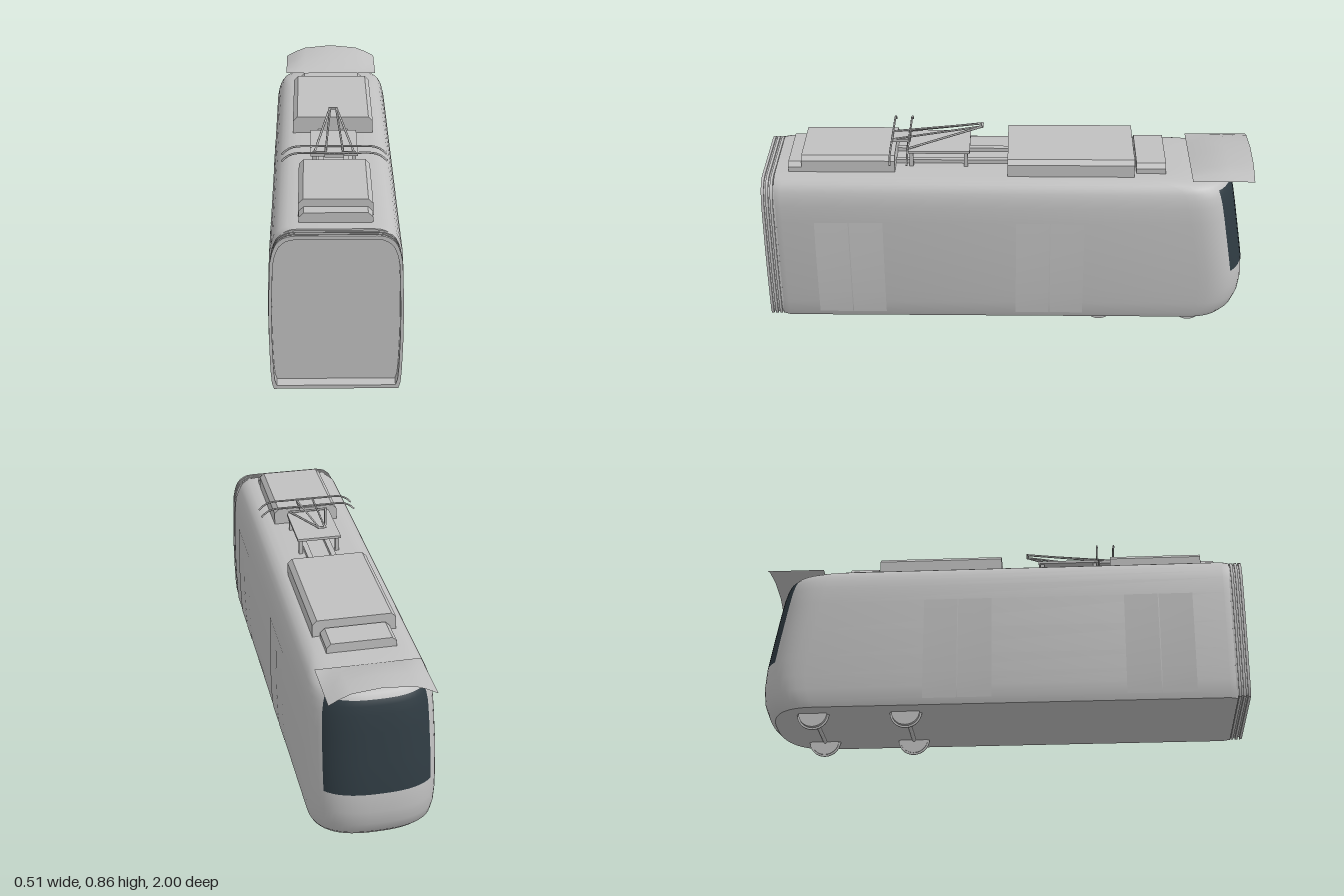
import * as THREE from 'three';
import { toCreasedNormals } from 'three/addons/utils/BufferGeometryUtils.js';

const paint = new THREE.MeshStandardMaterial({ color: 0xc0c0c0, side: THREE.DoubleSide });
paint.name = 'light grey';
const glass = new THREE.MeshStandardMaterial({ color: 0x2f3b42 });
glass.name = 'dark glass';

// Body levels: height, half width, z of the cab nose
const LEVELS = [
  [0.065, 0.236, -0.945], [0.09, 0.244, -0.97], [0.14, 0.248, -0.99], [0.2, 0.25, -0.997],
  [0.28, 0.252, -0.992], [0.4, 0.252, -0.972], [0.53, 0.248, -0.95], [0.6, 0.244, -0.937],
  [0.635, 0.237, -0.928], [0.658, 0.229, -0.92], [0.675, 0.22, -0.905], [0.687, 0.208, -0.87],
  [0.696, 0.195, -0.82], [0.703, 0.178, -0.75], [0.706, 0.15, -0.7],
];

function mesh(name, geometry, parent, material = paint) {
  const m = new THREE.Mesh(geometry, material);
  m.name = name;
  parent.add(m);
  return m;
}

function box(name, w, h, d, x, y, z, parent) {
  mesh(name, new THREE.BoxGeometry(w, h, d), parent).position.set(x, y, z);
}

// Round bar through a list of points, straight between them
function bar(name, points, r, parent) {
  const path = new THREE.CurvePath();
  const v = points.map((p) => new THREE.Vector3(...p));
  if (v.length === 2) path.add(new THREE.LineCurve3(v[0], v[1]));
  else path.add(new THREE.CatmullRomCurve3(v, false, 'centripetal'));
  mesh(name, new THREE.TubeGeometry(path, v.length === 2 ? 1 : 24, r, 6), parent);
}

// Surface through rows of points
function sheet(rows) {
  const n = rows[0].length, index = [];
  for (let r = 0; r < rows.length - 1; r++) {
    for (let c = 0; c < n - 1; c++) {
      const a = r * n + c;
      index.push(a, a + 1, a + n + 1, a, a + n + 1, a + n);
    }
  }
  const g = new THREE.BufferGeometry();
  g.setAttribute('position', new THREE.Float32BufferAttribute(rows.flat(2), 3));
  g.setIndex(index);
  g.computeVertexNormals();
  return g;
}

// Shell of stacked plan outlines: straight sides, rounded cab nose, flat rear
function bodyGeometry() {
  const STEPS = 28, DEPTH = 0.2, POWER = 2 / 2.6;
  const pos = [], body = [], screen = [];
  for (const [y, w, zf] of LEVELS) {
    pos.push(w - 0.012, y, 0.95, w, y, 0.92);
    for (let i = 0; i <= STEPS; i++) {
      const t = (Math.PI * i) / STEPS, c = Math.cos(t);
      const s = Math.max(0, Math.sin(t));
      pos.push(Math.sign(c) * w * Math.abs(c) ** POWER, y, zf + DEPTH * (1 - s ** POWER));
    }
    pos.push(-w, y, 0.92, -w + 0.012, y, 0.95);
  }
  const n = STEPS + 5, top = (LEVELS.length - 1) * n;
  for (let l = 0; l < LEVELS.length - 1; l++) {
    for (let j = 0; j < n; j++) {
      const k = (j + 1) % n, a = l * n;
      const isScreen = l >= 4 && l < 9 && j >= 8 && j < 24;
      (isScreen ? screen : body).push(a + j, a + k, a + n + k, a + j, a + n + k, a + n + j);
    }
  }
  // Floor and roof
  const mid = LEVELS.length * n;
  pos.push(0, LEVELS[0][0], 0, 0, LEVELS.at(-1)[0], 0);
  for (let j = 0; j < n; j++) {
    const k = (j + 1) % n;
    body.push(mid, k, j, mid + 1, top + j, top + k);
  }
  const g = new THREE.BufferGeometry();
  g.setAttribute('position', new THREE.Float32BufferAttribute(pos, 3));
  g.setIndex([...body, ...screen]);
  g.addGroup(0, body.length, 0);
  g.addGroup(body.length, screen.length, 1);
  return toCreasedNormals(g, 0.6);
}

// Cross-section outline of the body, scaled about its middle
function section(scale) {
  const p = LEVELS.map(([y, w]) => new THREE.Vector2(w * scale, 0.385 + (y - 0.385) * scale));
  return [...p, ...p.map((v) => new THREE.Vector2(-v.x, v.y)).reverse()];
}

function frame(name, scale, z0, z1, parent) {
  const s = new THREE.Shape(section(scale));
  s.holes.push(new THREE.Path(section(0.94)));
  const g = new THREE.ExtrudeGeometry(s, { depth: z1 - z0, bevelEnabled: false });
  mesh(name, toCreasedNormals(g, 0.6), parent).position.z = z0;
}

// Roof equipment box with chamfered upper edges
function roofBox(name, w, top, z0, z1, parent) {
  const c = 0.018, b = 0.69;
  const s = new THREE.Shape([[-w, b], [w, b], [w, top - c], [w - c, top], [c - w, top], [-w, top - c]]
    .map((p) => new THREE.Vector2(...p)));
  const g = new THREE.ExtrudeGeometry(s, { depth: z1 - z0, bevelEnabled: false });
  mesh(name, g, parent).position.z = z0;
}

export function createModel() {
  const model = new THREE.Group();
  model.name = 'tramCar';
  mesh('bodyAndWindscreen', bodyGeometry(), model, [paint, glass]);

  // Gangway bellows
  const bellows = new THREE.Group();
  bellows.name = 'gangwayBellows';
  model.add(bellows);
  frame('bellowsCore', 0.962, 0.945, 0.998, bellows);
  for (const z of [0.953, 0.971, 0.989]) frame('bellowsRib', 0.985, z, z + 0.011, bellows);

  // Double doors on both sides, following the wall profile
  for (const side of [-1, 1]) {
    for (const z of [0.65, -0.175]) {
      for (const [a, b] of [[-0.14, -0.002], [0.002, 0.14]]) {
        const ends = side > 0 ? [z + b, z + a] : [z + a, z + b];
        const rows = LEVELS.slice(1, 7).map(([y, w]) => ends.map((e) => [side * (w + 0.0015), y, e]));
        mesh('doorLeaf', sheet(rows), model);
      }
    }
  }

  // Arched fairing above the cab
  const arch = [[-0.205, 0], [-0.165, 0.022], [-0.12, 0.04], [0, 0.052], [0.12, 0.04], [0.165, 0.022], [0.205, 0]];
  const fairing = [[-0.75, 0], [-0.82, 0.5], [-0.9, 0.85], [-1, 1]]
    .map(([z, k]) => arch.map(([x, h]) => [x, 0.707 + h * k, z]));
  mesh('cabFairing', sheet(fairing.reverse().map((r) => r.reverse())), model);

  // Roof equipment
  roofBox('rearUnit', 0.138, 0.775, 0.46, 0.84, model);
  roofBox('rearUnitStep', 0.136, 0.745, 0.84, 0.895, model);
  roofBox('middleUnit', 0.166, 0.775, -0.515, 0, model);
  roofBox('forwardUnit', 0.138, 0.745, -0.645, -0.525, model);
  for (const x of [-0.05, 0.05]) {
    box('roofDuct', 0.022, 0.02, 0.46, x, 0.712, 0.23, model);
    box('ductLink', 0.022, 0.03, 0.03, x, 0.715, -0.52, model);
  }

  // Pantograph on its table
  const pan = new THREE.Group();
  pan.name = 'pantograph';
  model.add(pan);
  box('table', 0.185, 0.011, 0.255, 0, 0.773, 0.283, pan);
  for (const x of [-0.078, 0.078]) {
    for (const z of [0.172, 0.395]) box('tableLeg', 0.016, 0.07, 0.016, x, 0.735, z, pan);
    bar('outerArm', [[x, 0.783, 0.41], [Math.sign(x) * 0.014, 0.853, 0.105]], 0.0045, pan);
    bar('innerArm', [[x * 0.45, 0.803, 0.475], [Math.sign(x) * 0.012, 0.853, 0.105]], 0.004, pan);
  }
  bar('hinge', [[-0.085, 0.784, 0.41], [0.085, 0.784, 0.41]], 0.005, pan);
  bar('armTop', [[-0.018, 0.853, 0.105], [0.018, 0.853, 0.105]], 0.005, pan);
  box('headBlock', 0.075, 0.012, 0.08, 0, 0.797, 0.44, pan);
  for (const z of [0.405, 0.475]) {
    const half = [[0.205, 0.774], [0.185, 0.793], [0.155, 0.806], [0.08, 0.808]];
    const pts = [...half.map(([x, y]) => [-x, y, z]), ...half.reverse().map(([x, y]) => [x, y, z])];
    bar('collectorBar', pts, 0.004, pan);
  }

  // Wheelsets
  for (const z of [-0.39, -0.77]) {
    const set = new THREE.Group();
    set.name = 'wheelset';
    set.position.set(0, 0.066, z);
    model.add(set);
    const disc = (name, r, len, x) => {
      const m = mesh(name, new THREE.CylinderGeometry(r, r, len, 28), set);
      m.rotation.z = Math.PI / 2;
      m.position.x = x;
    };
    disc('axle', 0.008, 0.32, 0);
    for (const side of [-1, 1]) {
      disc('wheel', 0.058, 0.024, side * 0.159);
      disc('wheelFlange', 0.066, 0.005, side * 0.153);
    }
  }
  return model;
}
